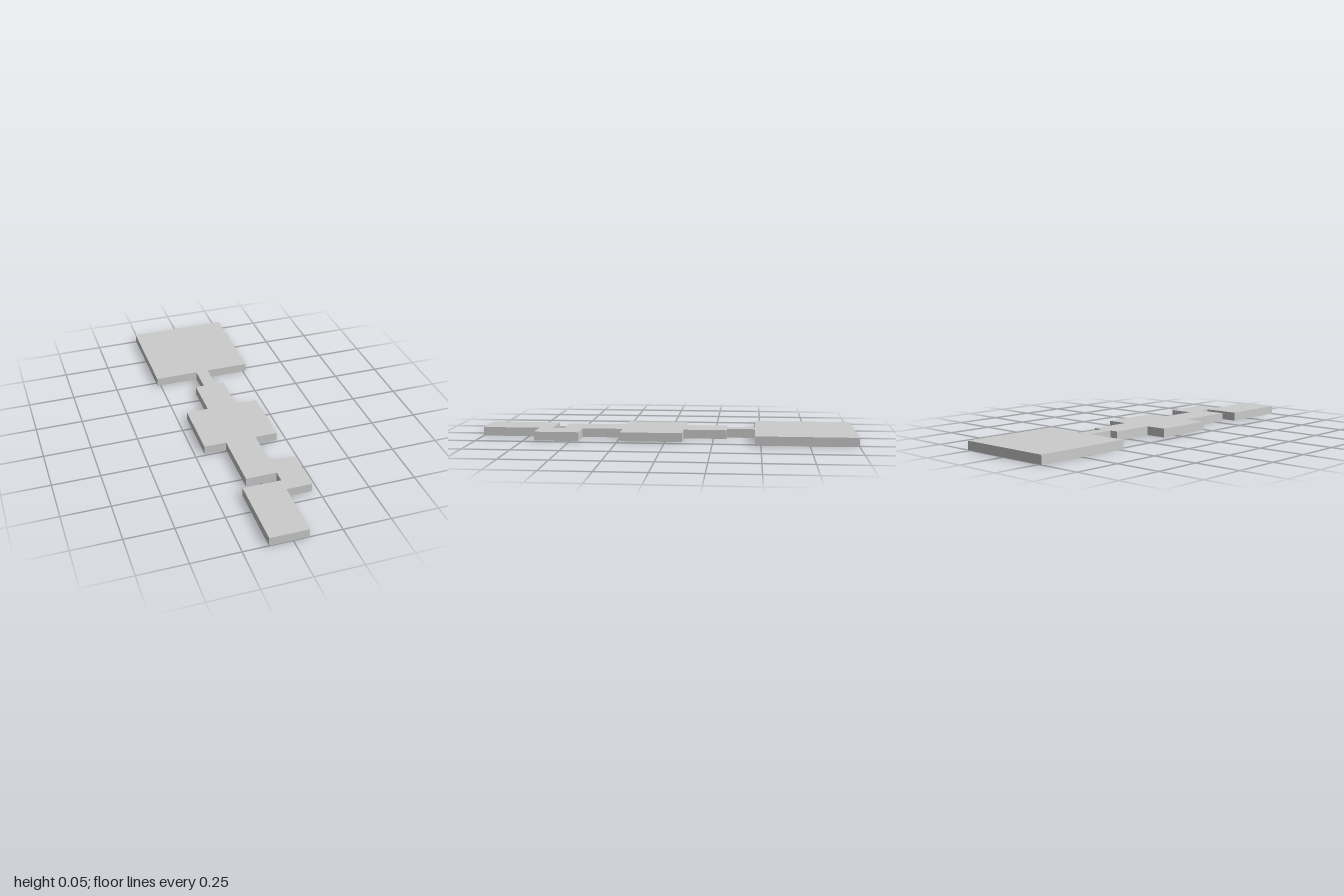
import * as THREE from 'three';

const HEIGHT = 0.047;

export function createModel() {
  const model = new THREE.Group();
  const material = new THREE.MeshStandardMaterial({ color: 0xcccccc, flatShading: true });

  // Right edge (+x), from the back pad to the front foot: [x, z]
  const rightEdge = [
    [0.268, -1], [0.268, -0.47], [0.034, -0.47], [0.034, -0.32],
    [0.081, -0.32], [0.081, -0.09], [0.199, -0.09], [0.199, 0.238],
    [0.081, 0.238], [0.081, 0.456], [0.216, 0.456], [0.216, 0.693],
    [0.081, 0.693], [0.081, 1],
  ];
  // Front foot and the notch that separates it from the stem
  const footEdge = [
    [-0.12, 1], [-0.12, 0.62], [0.081, 0.62], [0.081, 0.556], [-0.081, 0.556], [-0.081, 0.238],
  ];
  // The cross block, stem, neck and pad mirror the right edge
  const leftEdge = rightEdge.slice(0, 8).reverse().map(([x, z]) => [-x, z]);

  // One flat plate, drawn on the ground plane and extruded upwards
  const outline = new THREE.Shape(
    [...rightEdge, ...footEdge, ...leftEdge].map(([x, z]) => new THREE.Vector2(x, -z))
  );
  const geometry = new THREE.ExtrudeGeometry(outline, { depth: HEIGHT, bevelEnabled: false });
  geometry.rotateX(-Math.PI / 2);

  const plate = new THREE.Mesh(geometry, material);
  plate.name = 'steppedPlate';
  model.add(plate);
  return model;
}
